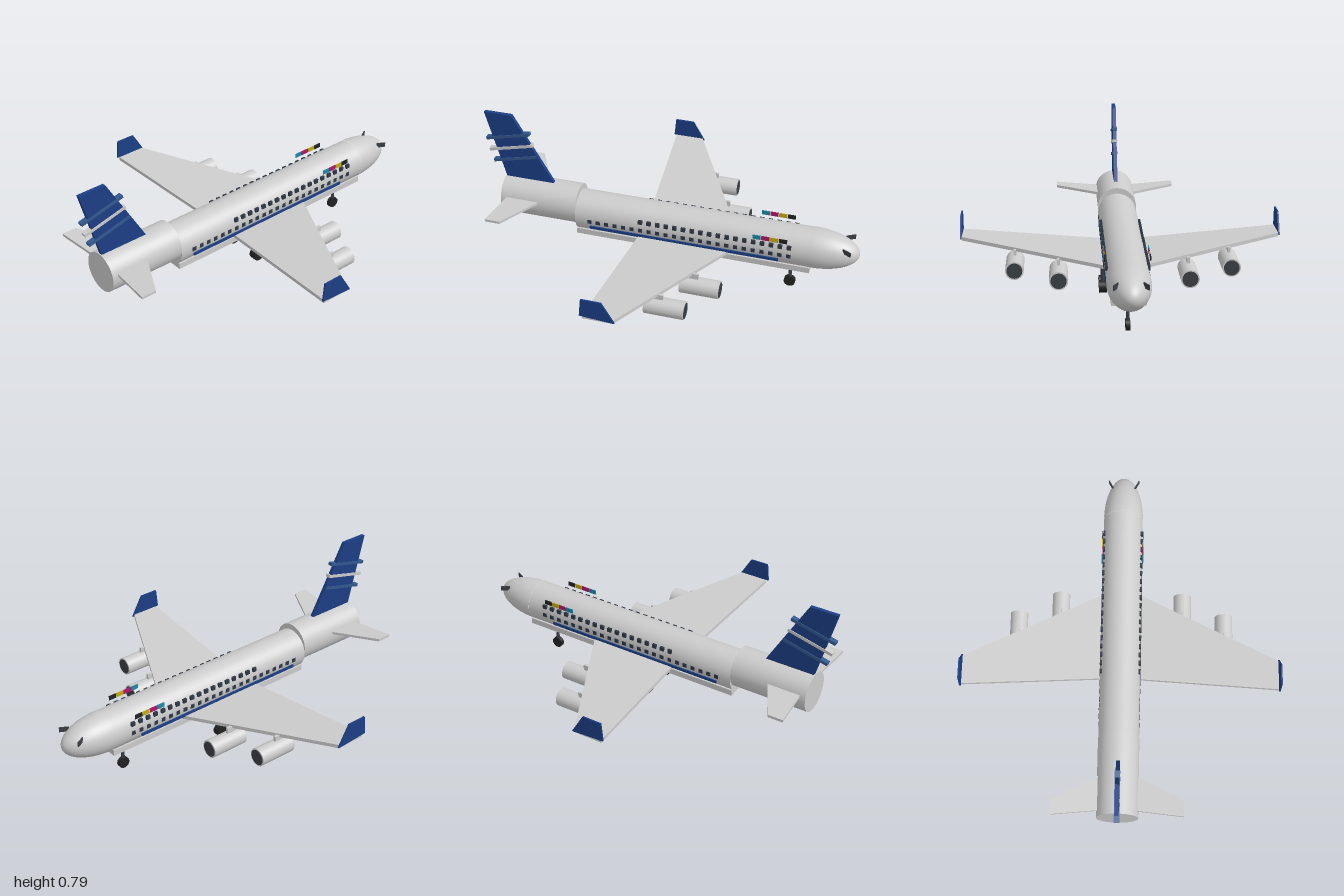
import * as THREE from 'three';

const mat = (color) => new THREE.MeshStandardMaterial({ color });
const grey = mat(0xcccccc), blue = mat(0x1c3f86), paleBlue = mat(0x33588f);
const glass = mat(0x2f3946), dark = mat(0x3a4046), rubber = mat(0x222222);

export function createModel() {
  const root = new THREE.Group();

  const add = (name, geometry, material, x = 0, y = 0, z = 0, parent = root) => {
    const mesh = new THREE.Mesh(geometry, material);
    mesh.name = name;
    mesh.position.set(x, y, z);
    parent.add(mesh);
    return mesh;
  };
  const group = (name) => {
    const g = new THREE.Group();
    g.name = name;
    root.add(g);
    return g;
  };
  const box = (w, h, d) => new THREE.BoxGeometry(w, h, d);
  // Cylinder lying along x
  const tube = (r, length, sides = 40) => new THREE.CylinderGeometry(r, r, length, sides).rotateZ(-Math.PI / 2);
  const shape = (pts) => new THREE.Shape(pts.map(([x, y]) => new THREE.Vector2(x, y)));
  // Upright plate in the xy plane, centred on z = 0
  const plate = (pts, depth) =>
    new THREE.ExtrudeGeometry(shape(pts), { depth, bevelEnabled: false }).translate(0, 0, -depth / 2);
  // Lifting surface: outline in (x, z), rising outwards by the slope
  const surface = (pts, side, thickness, top, slope) => {
    const g = new THREE.ExtrudeGeometry(shape(pts.map(([x, z]) => [x, z * side])), { depth: thickness, bevelEnabled: false });
    g.rotateX(Math.PI / 2);
    const p = g.attributes.position;
    for (let i = 0; i < p.count; i++) p.setY(i, p.getY(i) + top + slope * Math.abs(p.getZ(i)));
    g.computeVertexNormals();
    return g;
  };

  // Body
  add('fuselage', tube(0.105, 1.25), grey, 0.135, 0.27, 0);
  add('belly', box(1.25, 0.032, 0.168), grey, 0.135, 0.179, 0);
  add('tailSection', tube(0.106, 0.415), grey, -0.6975, 0.3, 0);
  const nose = new THREE.SphereGeometry(0.106, 40, 20, 0, Math.PI * 2, 0, Math.PI / 2).rotateZ(-Math.PI / 2);
  add('nose', nose.scale(0.24 / 0.106, 1, 1), grey, 0.76, 0.271, 0);

  // Tail fin with slanted bars
  add('tailFin', plate([[-0.895, 0.39], [-0.63, 0.39], [-0.635, 0.405], [-0.85, 0.785], [-1, 0.785]], 0.02), blue);
  [[-0.878, 0.655, paleBlue], [-0.865, 0.588, grey], [-0.845, 0.523, paleBlue]].forEach(([x, y, m]) => {
    add('finBar', box(0.248, 0.016, 0.027), m, x, y, 0).rotation.z = 0.245;
  });

  for (const side of [1, -1]) {
    const label = side > 0 ? 'near' : 'far';

    // Wing, winglet and stabilizer
    add(label + 'Wing', surface([[0.348, 0.07], [-0.045, 0.83], [-0.2, 0.83], [-0.142, 0.07]], side, 0.019, 0.218, 0.062), grey);
    add(label + 'Winglet', plate([[-0.213, 0.27], [-0.035, 0.258], [-0.1, 0.37], [-0.203, 0.37]], 0.008), blue, 0, 0, side * 0.834);
    add(label + 'Stabilizer', surface([[-0.68, 0.07], [-0.82, 0.333], [-0.9, 0.333], [-0.87, 0.07]], side, 0.014, 0.325, 0.055), grey);

    // Engines hanging from pylons
    [[0.253, 0.153, 0.328], [0.133, 0.17, 0.55]].forEach(([x, y, z]) => {
      const engine = group(label + 'Engine');
      engine.position.set(x, y, z * side);
      add('nacelle', tube(0.047, 0.204, 32), grey, 0, 0, 0, engine);
      add('intake', tube(0.04, 0.004, 32), dark, 0.102, 0, 0, engine);
      const top = 0.21 + 0.062 * z - y;
      add('pylon', box(0.09, top - 0.035, 0.014), grey, -0.055, (top + 0.035) / 2, 0, engine);
    });

    // Cabin windows in two rows, with a stripe below
    const windows = group(label + 'Windows');
    [[0.315, 18], [0.265, 24]].forEach(([y, count]) => {
      for (let i = 0; i < count; i++) {
        add('cabinWindow', box(0.022, 0.022, 0.012), glass, 0.652 - i * 0.0462, y, side * 0.101, windows);
      }
    });
    add(label + 'Stripe', box(1.01, 0.016, 0.012), blue, 0.095, 0.23, side * 0.1);

    // Coloured panels above the windows
    [0x1c8ba8, 0xb0186c, 0xc4ac14, 0x222222].forEach((color, i) => {
      add('colourPanel', box(0.042, 0.024, 0.004), mat(color), 0.485 + i * 0.0455, 0.355, side * 0.109);
    });

    // Cockpit window
    add(label + 'CockpitWindow', box(0.05, 0.026, 0.005), dark, 0.94, 0.32, side * 0.07).rotation.y = -side * 0.5;
  }

  // Landing gear
  const gear = (name, x, z, r, width, top) => {
    const g = group(name);
    g.position.set(x, 0, z);
    add('strut', new THREE.CylinderGeometry(0.009, 0.009, top - r, 12), dark, 0, (top + r) / 2, 0, g);
    add('wheel', new THREE.CylinderGeometry(r, r, width, 24).rotateX(Math.PI / 2), rubber, 0, r, 0, g);
  };
  gear('noseGear', 0.65, 0, 0.03, 0.022, 0.18);
  for (const z of [0.1, -0.1]) for (const x of [0.008, 0.092]) gear('mainGear', x, z, 0.033, 0.04, 0.21);

  return root;
}
